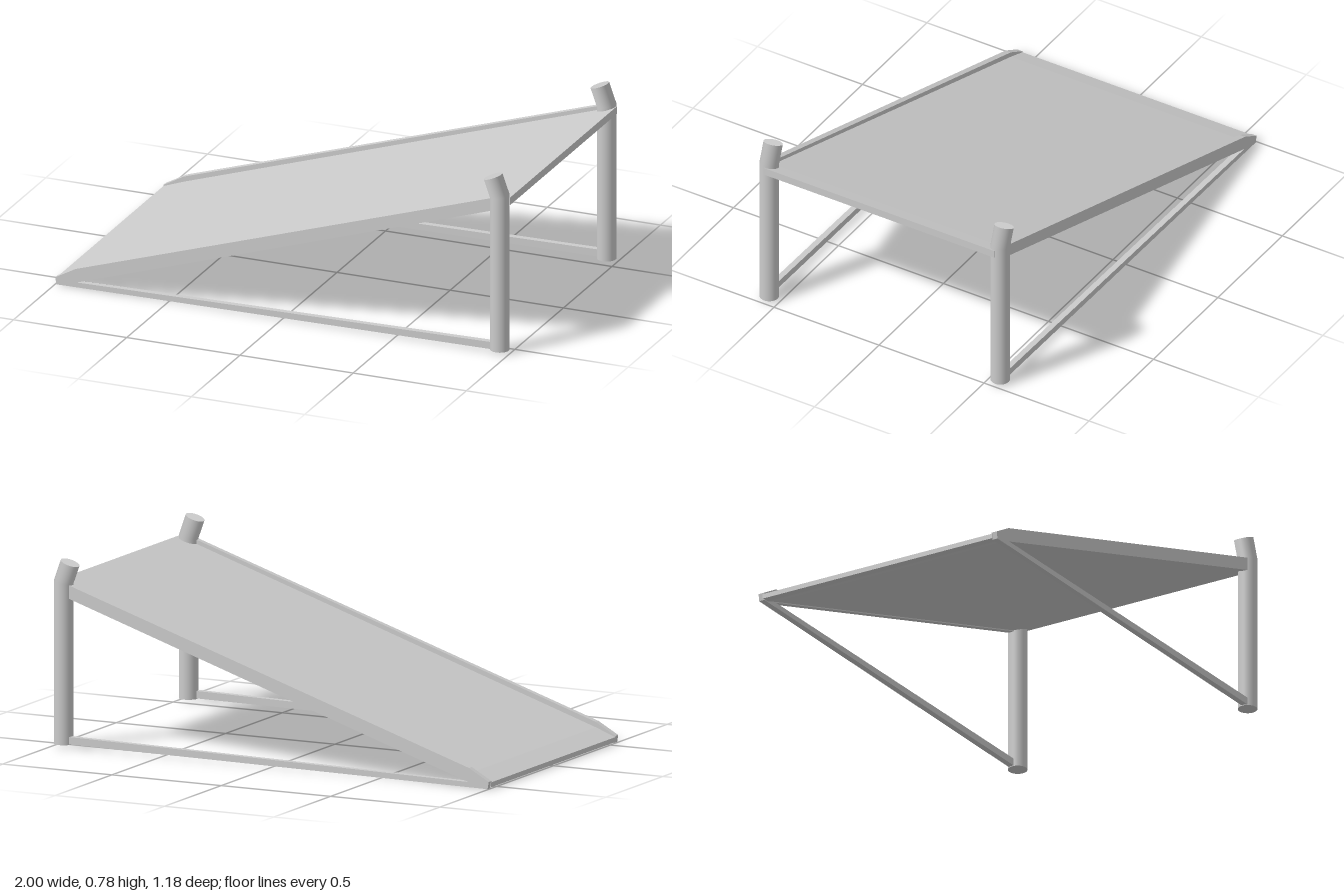
import * as THREE from 'three';

const mat = new THREE.MeshStandardMaterial({ color: 0xcccccc });

// Extrude a side profile (x, y) along z between z0 and z1
function slab(name, pts, z0, z1) {
  const shape = new THREE.Shape(pts.map(([x, y]) => new THREE.Vector2(x, y)));
  const geo = new THREE.ExtrudeGeometry(shape, { depth: z1 - z0, bevelEnabled: false });
  geo.translate(0, 0, z0);
  const mesh = new THREE.Mesh(geo, mat);
  mesh.name = name;
  return mesh;
}

// Round post whose upper end leans back over the ramp with a mitred elbow
function post(name, z) {
  const r = 0.04, lean = THREE.MathUtils.degToRad(20);
  const geo = new THREE.CylinderGeometry(r, r, 2, 32, 2);
  const p = geo.attributes.position;
  for (let i = 0; i < p.count; i++) {
    const x = p.getX(i), level = p.getY(i);
    if (level < -0.5) p.setXY(i, x, 0.012);
    else if (level < 0.5) p.setXY(i, x, 0.68 + x * Math.tan(lean / 2));
    else p.setXY(i, x * Math.cos(lean) - 0.03, 0.762 + x * Math.sin(lean));
  }
  const mesh = new THREE.Mesh(geo, mat);
  mesh.name = name;
  mesh.position.set(0.955, 0, z);
  return mesh;
}

export function createModel() {
  const model = new THREE.Group();
  model.name = 'ramp';

  // Sloping deck with a bevelled toe
  model.add(slab('deck', [
    [-1, 0.005], [-0.97, 0.003], [-0.91, 0.025], [1, 0.647],
    [1, 0.68], [0.93, 0.658], [-0.91, 0.058], [-1, 0.025],
  ], -0.55, 0.55));

  // Side frames: sloping rail and ground bar meeting at the toe
  const frame = [
    [-0.995, 0], [0.955, 0.015], [0.955, 0.046], [-0.905, 0.022],
    [0.955, 0.628], [0.955, 0.683], [-0.91, 0.08], [-1, 0.03],
  ];
  for (const [side, s] of [['left', -1], ['right', 1]]) {
    const a = s * 0.545, b = s * 0.57;
    model.add(slab(side + 'Frame', frame, Math.min(a, b), Math.max(a, b)));
    model.add(post(side + 'Post', s * 0.55));
  }
  return model;
}
